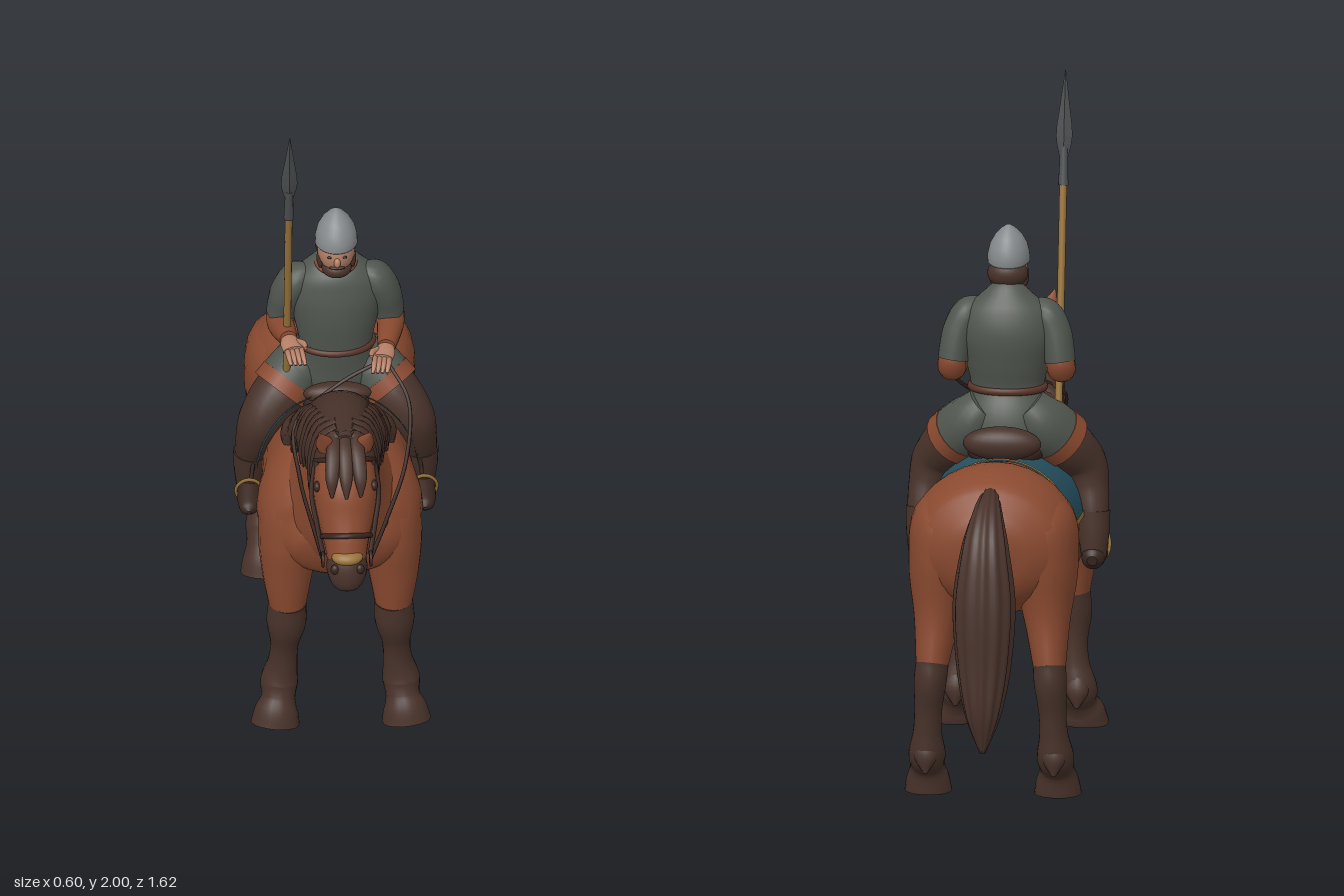
import * as THREE from 'three';

const V = (x, y, z) => new THREE.Vector3(x, y, z);

// Smooth skin over stations [x, y, z, halfWidth, halfDepth]; never goes below the ground
function loft(st, { m = 20, n = 5, ridge = [0, 0], arc = null, flat = false } = {}) {
  const path = new THREE.CatmullRomCurve3(st.map(s => V(s[0], s[1], s[2])));
  const size = new THREE.CatmullRomCurve3(st.map((s, i) => V(s[3], s[4] ?? s[3], i)));
  const rows = (st.length - 1) * n, cols = arc ? m + 1 : m;
  const [a0, a1] = arc || [0, Math.PI * 2];
  const pos = [], idx = [];
  for (let i = 0; i <= rows; i++) {
    const u = i / rows, c = path.getPoint(u), t = path.getTangent(u), r = size.getPoint(u);
    const side = V(1, 0, 0).addScaledVector(t, -t.x).normalize();
    const up = t.clone().cross(side);
    for (let j = 0; j < cols; j++) {
      const a = a0 + (a1 - a0) * j / m, k = 1 + ridge[1] * Math.cos(ridge[0] * a);
      const p = c.clone().addScaledVector(side, Math.max(r.x, 0.001) * k * Math.cos(a))
        .addScaledVector(up, Math.max(r.y, 0.001) * k * Math.sin(a));
      pos.push(p.x, Math.max(p.y, 0), p.z);
    }
  }
  for (let i = 0; i < rows; i++) for (let j = 0; j < m; j++) {
    const a = i * cols + j, b = i * cols + (j + 1) % cols;
    idx.push(a, b, a + cols, b, b + cols, a + cols);
  }
  if (!arc) for (const end of [0, 1]) {
    // End caps with their own vertices so the rim stays crisp
    const base = pos.length / 3, o = end * rows * cols, c = path.getPoint(end);
    for (let j = 0; j < cols; j++) pos.push(...pos.slice((o + j) * 3, (o + j) * 3 + 3));
    pos.push(c.x, Math.max(c.y, 0), c.z);
    for (let j = 0; j < m; j++) {
      const a = base + j, b = base + (j + 1) % m;
      idx.push(base + cols, end ? a : b, end ? b : a);
    }
  }
  let g = new THREE.BufferGeometry();
  g.setAttribute('position', new THREE.Float32BufferAttribute(pos, 3));
  g.setIndex(idx);
  if (flat) g = g.toNonIndexed();
  g.computeVertexNormals();
  return g;
}

const mirror = (st, s) => st.map(p => [p[0] * s, ...p.slice(1)]);
const tube = (pts, r) => new THREE.TubeGeometry(new THREE.CatmullRomCurve3(pts.map(p => V(...p))), 32, r, 6);
const ball = (x, y, z, a, b, c) => new THREE.SphereGeometry(1, 24, 16).scale(a, b, c).translate(x, y, z);
// Elliptical ring tilted about x
const ring = (y, z, rw, rd, tilt, r) => new THREE.TorusGeometry(1, r / rw, 8, 36)
  .scale(rw, rd, rw).rotateX(tilt).translate(0, y, z);

export function createModel() {
  const model = new THREE.Group();
  const mat = (name, color, side = THREE.FrontSide) => new THREE.MeshStandardMaterial({ name, color, side });
  const coat = mat('chestnut coat', 0x8a4a30);
  const dark = mat('dark brown hair and cloth', 0x48322a);
  const leather = mat('dark leather', 0x38251f);
  const belt = mat('red brown leather', 0x5a3327);
  const wool = mat('grey green wool', 0x51564f);
  const steel = mat('steel', 0x858a8c);
  const iron = mat('dark iron', 0x4c4f50);
  const teal = mat('teal cloth', 0x25505f, THREE.DoubleSide);
  const gold = mat('ochre', 0x99733c, THREE.DoubleSide);
  const skin = mat('skin', 0xb57f66);
  const add = (name, geo, m, parent = model) => {
    const mesh = new THREE.Mesh(geo, m);
    mesh.name = name;
    parent.add(mesh);
    return mesh;
  };
  const group = name => {
    const g = new THREE.Group();
    g.name = name;
    model.add(g);
    return g;
  };

  // Horse: barrel, neck, head
  const horse = group('horse');
  add('barrel', loft([
    [0, .77, -.625, .02, .03], [0, .77, -.605, .12, .1], [0, .765, -.55, .205, .175], [0, .755, -.42, .25, .222],
    [0, .735, -.3, .21, .21], [0, .71, -.15, .2, .21], [0, .695, 0, .215, .226], [0, .715, .15, .225, .25],
    [0, .71, .27, .243, .225], [0, .67, .365, .205, .155], [0, .655, .42, .13, .09], [0, .65, .437, .02, .02]], { m: 32 }), coat, horse);
  add('neck', loft([[0, .7, .2, .2, .22], [0, .78, .28, .185, .215], [0, .91, .38, .13, .17],
    [0, 1.02, .465, .095, .135], [0, 1.09, .54, .075, .095]], { m: 28 }), coat, horse);
  add('head', loft([[0, 1.16, .53, .04, .04], [0, 1.1, .57, .08, .085], [0, 1.02, .615, .094, .11], [0, .95, .655, .085, .1],
    [0, .885, .705, .065, .08], [0, .845, .735, .057, .064]], { m: 24 }), coat, horse);
  add('muzzle', loft([[0, .85, .732, .057, .064], [0, .825, .747, .06, .062], [0, .79, .76, .05, .05],
    [0, .765, .765, .03, .03], [0, .755, .768, .005, .005]]), dark, horse);
  add('paleNose', ball(0, .876, .768, .046, .022, .034), gold, horse);
  for (const s of [1, -1]) {
    add('ear', loft(mirror([[.05, 1.12, .59, .02], [.058, 1.17, .61, .028, .02], [.075, 1.225, .64, .003]], s), { m: 10 }), coat, horse);
    add('eye', ball(s * .083, 1.05, .655, .012, .016, .016), leather, horse);
    add('nostril', ball(s * .036, .845, .787, .014, .016, .012), leather, horse);

    // Legs: coat above, dark stocking and hoof below
    const fore = mirror([[.1, .88, .23, .03, .04], [.14, .77, .265, .085, .12], [.15, .64, .29, .09, .115], [.155, .52, .305, .075, .083],
      [.155, .41, .308, .056, .064], [.158, .34, .308, .058, .06], [.163, .26, .297, .042, .046], [.168, .19, .29, .043, .046],
      [.178, .12, .288, .055, .058], [.182, .075, .308, .05, .052], [.188, .04, .325, .064, .058], [.192, 0, .335, .072, .06]], s);
    const hind = mirror([[.09, .93, -.42, .03, .05], [.125, .82, -.42, .11, .15], [.15, .68, -.44, .1, .145], [.162, .53, -.48, .068, .092],
      [.172, .4, -.522, .048, .068], [.176, .355, -.537, .048, .058], [.182, .27, -.534, .041, .045], [.185, .2, -.528, .042, .045],
      [.188, .13, -.51, .054, .06], [.19, .085, -.48, .05, .052], [.19, .04, -.46, .063, .06], [.19, 0, -.45, .07, .065]], s);
    for (const [name, leg] of [['foreLeg', fore], ['hindLeg', hind]]) {
      add(name, loft(leg.slice(0, 5)), coat, horse);
      add(name + 'Stocking', loft(leg.slice(4)), dark, horse);
      const [x, y, z] = leg[8];
      add('heelTuft', loft([[x, y + .05, z - .025, .02], [x, y, z - .045, .034, .022], [x, y - .05, z - .055, .006]], { m: 12 }), dark, horse);
    }
  }

  // Tail
  add('tail', loft([[0, .91, -.53, .025, .03], [0, .89, -.61, .04, .04], [0, .81, -.69, .065, .055], [0, .64, -.722, .088, .074],
    [0, .44, -.737, .075, .07], [0, .31, -.76, .05, .05], [0, .2, -.77, .008, .01]], { m: 60, ridge: [12, .05] }), dark, horse);

  // Mane: crest plus hanging locks
  const crest = [[0, 1.165, .61, .04, .03], [0, 1.155, .5, .06, .04], [0, 1.11, .36, .08, .06], [0, 1.03, .23, .09, .045], [0, .98, .18, .05, .02]];
  add('maneCrest', loft(crest, { m: 24 }), dark, horse);
  const crestLine = new THREE.CatmullRomCurve3(crest.map(p => V(p[0], p[1], p[2])));
  const locks = 13;
  for (let i = 0; i < locks; i++) for (const s of [1, -1]) {
    const u = i / (locks - 1), p = crestLine.getPoint(.06 + .9 * u);
    const w = .07 + .075 * u, len = .19 - .07 * u + .025 * (i % 3);
    add('maneLock', loft([[s * .015, p.y + .02, p.z, .02, .025], [s * w * .7, p.y - .01, p.z + .005, .026, .034],
      [s * w, p.y - len * .5, p.z - .005, .024, .034], [s * (w + .015), p.y - len, p.z - .03, .004, .006]],
      { m: 10, n: 4 }), dark, horse);
  }
  for (const x of [-.03, 0, .03]) add('forelock', loft([[x, 1.18, .58, .02], [x * 1.2, 1.155, .65, .022, .014],
    [x * 1.4, 1.1, .7, .018, .012], [x * 1.4, 1.05, .725 - Math.abs(x) * .3, .004]], { m: 10 }), dark, horse);

  // Bridle and reins
  const bridle = group('bridle');
  add('noseband', ring(.9, .694, .071, .085, .98, .008), leather, bridle);
  add('browband', ring(1.09, .577, .086, .091, .98, .007), leather, bridle);
  for (const s of [1, -1]) {
    add('cheekStrap', tube([[s * .085, 1.1, .58], [s * .098, 1.01, .63], [s * .086, .94, .68], [s * .068, .86, .735]], .007), leather, bridle);
    add('bitRing', new THREE.TorusGeometry(.02, .005, 6, 16).rotateY(Math.PI / 2).translate(s * .07, .85, .74), leather, bridle);
  }
  add('leftRein', tube([[.07, .85, .74], [.12, .9, .62], [.185, .99, .45], [.2, 1.09, .28], [.14, 1.16, .17]], .006), leather, bridle);
  add('rightRein', tube([[-.07, .85, .74], [-.09, .87, .62], [-.125, .93, .42], [-.13, 1.02, .28], [0, 1.1, .2], [.12, 1.155, .17]], .006), leather, bridle);
  add('throatLash', tube([[.09, 1.06, .55], [.08, .95, .53], [0, .9, .54], [-.08, .95, .53], [-.09, 1.06, .55]], .006), leather, bridle);

  // Saddle cloth with ochre border
  const saddle = group('saddle');
  const cloth = (z0, z1, lift, a0, a1) => loft([z0, z0 + (z1 - z0) / 3, z1 - (z1 - z0) / 3, z1].map(z => {
    const k = Math.max(z, 0) / .155;
    return [0, .705 + .018 * k, z, .229 + .07 * z + lift, .234 + .06 * k * k + lift];
  }), { m: 32, arc: [a0, a1] });
  const lo = .13, hi = Math.PI - lo;
  add('saddleCloth', cloth(-.23, .155, 0, lo, hi), teal, saddle);
  add('frontBorder', cloth(.14, .157, .004, lo, hi), gold, saddle);
  add('rearBorder', cloth(-.232, -.216, .004, lo, hi), gold, saddle);
  add('leftBorder', cloth(-.232, .157, .004, lo - .02, lo + .05), gold, saddle);
  add('rightBorder', cloth(-.232, .157, .004, hi - .05, hi + .02), gold, saddle);
  add('seat', ball(0, .93, -.04, .12, .05, .15), leather, saddle);
  add('pommel', ball(0, 1.0, .1, .1, .035, .035), dark, saddle);
  add('cantle', ball(0, .98, -.185, .115, .05, .045), dark, saddle);
  add('girth', loft([[0, .69, -.02, .232, .248], [0, .69, .005, .232, .248]], { m: 36 }), leather, saddle);

  // Rider
  const rider = group('rider');
  add('tunic', loft([[0, .94, -.055, .13, .09], [0, 1.02, -.04, .128, .092], [0, 1.1, -.018, .107, .078], [0, 1.2, -.02, .124, .092],
    [0, 1.28, -.025, .138, .095], [0, 1.345, -.02, .125, .08], [0, 1.39, -.012, .075, .058], [0, 1.412, 0, .045, .045]], { m: 28 }), wool, rider);
  add('waistBelt', ring(1.11, -.018, .108, .079, Math.PI / 2, .011), belt, rider);
  add('collar', ring(1.395, -.004, .054, .05, Math.PI / 2 + .15, .009), coat, rider);
  for (const s of [1, -1]) {
    const lift = s < 0 ? .035 : 0;
    add('shortSleeve', loft(mirror([[.07, 1.355, -.015, .025], [.112, 1.333, -.018, .045, .055], [.14, 1.28, -.028, .048, .06],
      [.152, 1.23, -.04, .046, .058], [.157, 1.195, -.046, .045, .057]], s)), wool, rider);
    add('forearmSleeve', loft(mirror([[.155, 1.23, -.045, .038], [.16, 1.18, -.053, .042], [.16, 1.165 + lift * .2, -.015, .04],
      [.15, 1.165 + lift * .7, .06, .033], [.143, 1.165 + lift, .11, .026]], s)), coat, rider);
    // Hand with four fingers and a thumb
    const y = 1.162 + lift;
    add('palm', loft(mirror([[.143, y, .1, .022, .018], [.138, y, .13, .03, .018], [.13, y, .165, .03, .014]], s)), skin, rider);
    for (let f = 0; f < 4; f++) {
      const x = .108 + f * .014;
      add('finger', loft(mirror([[x, y, .155, .008], [x - .004, y - .002, .19, .008], [x - .01, y - .018, .215, .005]], s), { m: 8 }), skin, rider);
    }
    add('thumb', loft(mirror([[.118, y + .005, .125, .01], [.1, y + .014, .15, .009], [.096, y + .014, .175, .005]], s), { m: 8 }), skin, rider);

    // Tunic skirt over the thigh, legs, boots and stirrups
    add('skirt', loft(mirror([[.06, 1.06, -.05, .06, .07], [.105, 1.01, -.045, .078, .088], [.145, .965, -.02, .084, .09]], s)), wool, rider);
    add('skirtHem', loft(mirror([[.138, .972, -.024, .086, .092], [.165, .942, -.006, .088, .09]], s)), coat, rider);
    add('trouserLeg', loft(mirror([[.1, 1.0, -.045, .07], [.168, .935, 0, .078], [.22, .868, .03, .067], [.238, .805, .022, .056],
      [.248, .735, -.003, .048], [.252, .68, -.014, .043]], s)), dark, rider);
    add('bootShaft', loft(mirror([[.249, .735, -.003, .051], [.252, .67, -.014, .046], [.254, .6, -.025, .036]], s)), dark, rider);
    add('boot', loft(mirror([[.253, .6, -.07, .015], [.253, .602, -.055, .032], [.254, .605, -.01, .035, .038], [.256, .595, .05, .034, .028],
      [.258, .587, .088, .025, .02], [.258, .585, .102, .006]], s)), leather, rider);
    add('stirrup', new THREE.TorusGeometry(.038, .005, 6, 24).scale(1, 1.4, 1).rotateX(.35).translate(s * .256, .622, .04), gold, rider);
    add('stirrupStrap', tube([[s * .25, .67, .055], [s * .238, .76, .03], [s * .225, .86, .01]], .006), leather, rider);
  }

  // Head, beard and helmet
  add('throat', loft([[0, 1.38, -.005, .04], [0, 1.46, .005, .04]]), skin, rider);
  add('face', ball(0, 1.462, .025, .055, .07, .068), skin, rider);
  add('hair', ball(0, 1.45, -.014, .06, .045, .046), dark, rider);
  add('beard', ball(0, 1.41, .05, .044, .028, .04), dark, rider);
  add('moustache', ball(0, 1.432, .085, .024, .005, .008), dark, rider);
  add('nose', ball(0, 1.453, .092, .01, .016, .012), skin, rider);
  for (const s of [1, -1]) {
    add('whiskers', ball(s * .046, 1.432, .03, .012, .034, .016), dark, rider);
    add('pupil', ball(s * .022, 1.469, .086, .007, .004, .004), leather, rider);
  }
  const dome = [[.001, 1.488], [.058, 1.488], [.062, 1.478], [.065, 1.482], [.064, 1.505], [.057, 1.532], [.042, 1.558], [.022, 1.579], [.006, 1.59], [0, 1.592]];
  add('helmet', new THREE.LatheGeometry(dome.map(([r, y]) => new THREE.Vector2(r, y - 1.48)), 32)
    .scale(.96, 1, 1.2).rotateX(-.08).translate(0, 1.48, .018), steel, rider);

  // Spear
  const spear = group('spear');
  const at = (y, w, d) => [-.145, y, .015 + (y - .98) * .221, w, d];
  add('shaft', loft([at(.98, .011, .011), at(1.7, .011, .011)], { m: 12 }), gold, spear);
  add('socket', loft([at(1.67, .015, .015), at(1.78, .011, .011)], { m: 12 }), iron, spear);
  add('blade', loft([at(1.74, .01, .008), at(1.81, .024, .012), at(1.9, .014, .009), at(2, .001, .001)], { m: 4, n: 3, flat: true }), iron, spear);
  return model;
}
